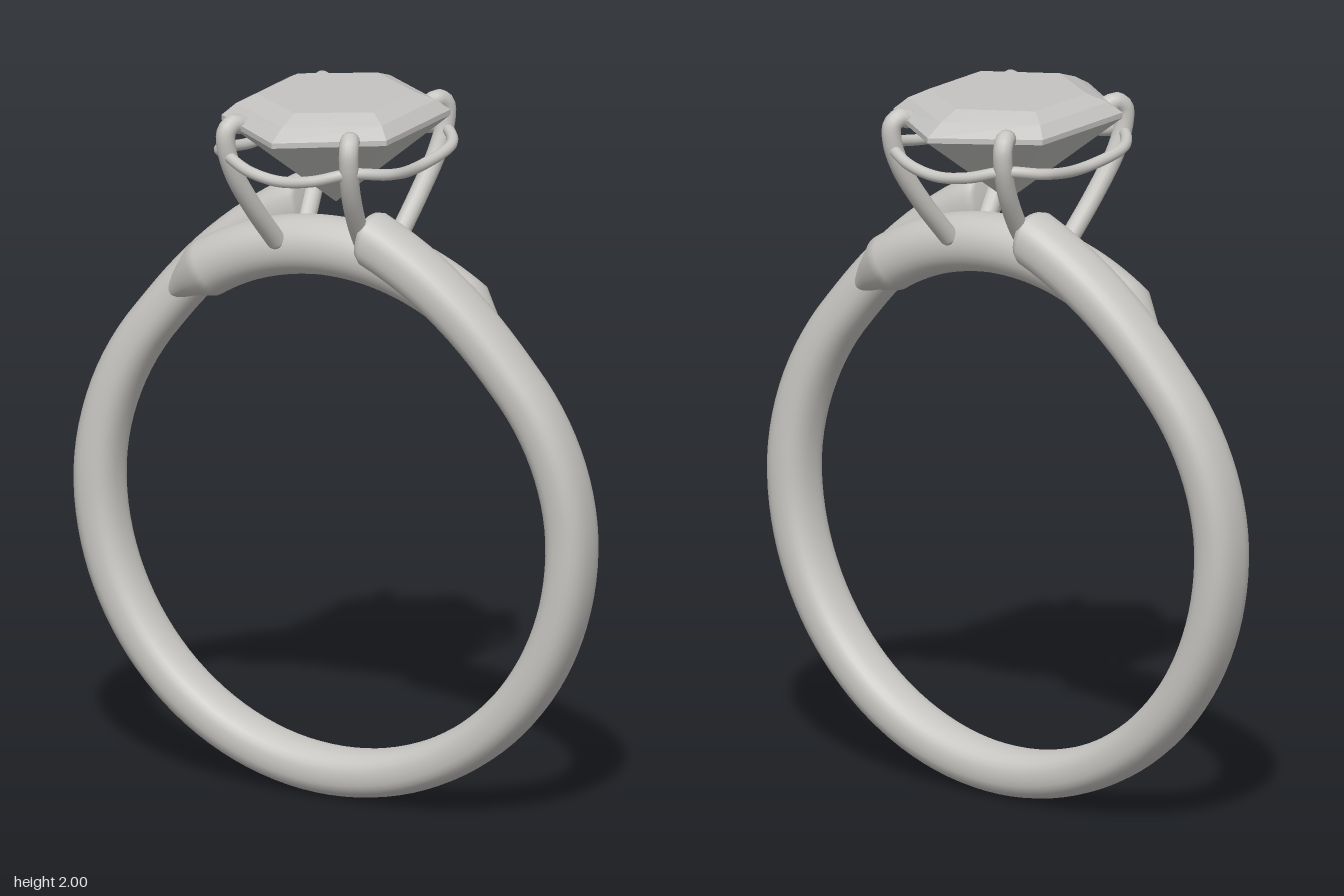
import * as THREE from 'three';

const V = (x, y, z) => new THREE.Vector3(x, y, z);
const RING_Y = 0.81, RING_R = 0.745;

// Sweeps a rounded section around the finger axis.
// Each station: degrees from the top, radius, z offset, radial and z half sizes.
function sweep(stations, sides = 28, power = 2.4) {
  const pos = [], idx = [];
  const round = (v) => Math.sign(v) * Math.abs(v) ** (2 / power);
  const place = (deg, r, z) => {
    const a = THREE.MathUtils.degToRad(deg);
    pos.push(Math.sin(a) * r, RING_Y + Math.cos(a) * r, z);
  };
  for (const s of stations) {
    for (let j = 0; j < sides; j++) {
      const t = (j / sides) * Math.PI * 2;
      place(s.deg, s.r + round(Math.cos(t)) * s.h, s.z + round(Math.sin(t)) * s.w);
    }
  }
  const last = stations.length - 1, c0 = stations.length * sides, c1 = c0 + 1;
  for (const s of [stations[0], stations[last]]) place(s.deg, s.r, s.z);
  for (let j = 0; j < sides; j++) {
    const k = (j + 1) % sides;
    for (let i = 0; i < last; i++) {
      const a = i * sides, b = a + sides;
      idx.push(a + j, a + k, b + j, a + k, b + k, b + j);
    }
    idx.push(c0, k, j, c1, last * sides + j, last * sides + k);
  }
  const g = new THREE.BufferGeometry();
  g.setAttribute('position', new THREE.Float32BufferAttribute(pos, 3));
  g.setIndex(idx);
  g.computeVertexNormals();
  return g;
}

// Bypass band: both ends rise and swing to opposite sides
function bandGeometry() {
  const stations = [];
  const add = (deg, scale) => {
    const d = Math.min(deg, 360 - deg), side = deg < 180 ? 1 : -1;
    const rise = Math.max(0, (52 - d) / 40) ** 1.6;
    const swing = Math.max(0, (90 - d) / 78) ** 1.5;
    stations.push({
      deg, r: RING_R + 0.105 * rise, z: side * 0.118 * swing,
      h: (0.065 + 0.01 * Math.min(1, rise)) * scale, w: 0.081 * scale,
    });
  };
  add(11, 0.7);
  add(11.4, 0.88);
  for (let i = 0; i <= 110; i++) add(12.5 + (335 * i) / 110, 1);
  add(348.6, 0.88);
  add(349, 0.7);
  return sweep(stations);
}

// Bridge under the stone, pointed at both ends
function bridgeGeometry() {
  const stations = [];
  const add = (deg, s) => stations.push({ deg, r: 0.752, z: 0, h: 0.082 * s, w: 0.09 * s });
  add(-45, 0.12);
  add(-39, 0.56);
  for (let i = 0; i <= 32; i++) add(-33 + (66 * i) / 32, 1);
  add(39, 0.56);
  add(45, 0.12);
  return sweep(stations, 28, 2.1);
}

// Step-cut elongated hexagon, from culet up to table
function gemGeometry() {
  const levels = [ // y, half width, corner z, point z
    [1.69, 0, 0, 0], [1.93, 0.26, 0.177, 0.357], [1.945, 0.26, 0.177, 0.357],
    [1.976, 0.23, 0.15, 0.298], [2, 0.185, 0.115, 0.23], [2, 0, 0, 0],
  ];
  const rings = levels.map(([y, w, l, p]) => [
    V(0, y, p), V(w, y, l), V(w, y, -l), V(0, y, -p), V(-w, y, -l), V(-w, y, l),
  ]);
  const points = [];
  for (let i = 0; i < rings.length - 1; i++) {
    const A = rings[i], B = rings[i + 1];
    for (let j = 0; j < 6; j++) {
      const k = (j + 1) % 6;
      if (i > 0) points.push(A[j], A[k], B[k]);
      if (i < rings.length - 2) points.push(A[j], B[k], B[j]);
    }
  }
  const g = new THREE.BufferGeometry().setFromPoints(points);
  g.computeVertexNormals();
  return g;
}

export function createModel() {
  const metal = new THREE.MeshStandardMaterial({ color: 0xc8c6c2 });
  metal.name = 'polished metal';
  const stone = new THREE.MeshStandardMaterial({ color: 0xc4c3c1 });
  stone.name = 'grey stone';

  const model = new THREE.Group();
  model.name = 'ring';
  const add = (name, geometry, material = metal, parent = model) => {
    const mesh = new THREE.Mesh(geometry, material);
    mesh.name = name;
    parent.add(mesh);
    return mesh;
  };

  add('band', bandGeometry());
  add('bridge', bridgeGeometry());
  add('gemstone', gemGeometry(), stone);

  // Four claws curling over the stone
  const prongs = new THREE.Group();
  prongs.name = 'prongs';
  model.add(prongs);
  const clawPath = [
    [0.145, 1.58, 0.08], [0.163, 1.69, 0.17], [0.183, 1.8, 0.24], [0.193, 1.88, 0.268],
    [0.193, 1.93, 0.268], [0.183, 1.948, 0.245], [0.174, 1.942, 0.226],
  ];
  for (const sx of [1, -1]) {
    for (const sz of [1, -1]) {
      const pts = clawPath.map(([x, y, z]) => V(x * sx, y, z * sz));
      add('prong', new THREE.TubeGeometry(new THREE.CatmullRomCurve3(pts), 40, 0.027, 14), metal, prongs);
      for (const end of [pts[0], pts[pts.length - 1]]) {
        add('prongTip', new THREE.SphereGeometry(0.027, 14, 10), metal, prongs).position.copy(end);
      }
    }
  }

  // Wavy wire joining the claws
  const quarter = [
    [0, 1.825, 0.312], [0.1, 1.838, 0.306], [0.195, 1.862, 0.264], [0.265, 1.848, 0.175],
  ];
  const side = V(0.258, 1.825, 0);
  const half = [
    ...quarter.map((p) => V(...p)), side,
    ...quarter.slice(1).reverse().map(([x, y, z]) => V(x, y, -z)),
  ];
  const loop = [...half, ...half.map((p) => V(-p.x, p.y, -p.z))];
  add('galleryWire', new THREE.TubeGeometry(new THREE.CatmullRomCurve3(loop, true), 160, 0.016, 12, true));

  return model;
}
